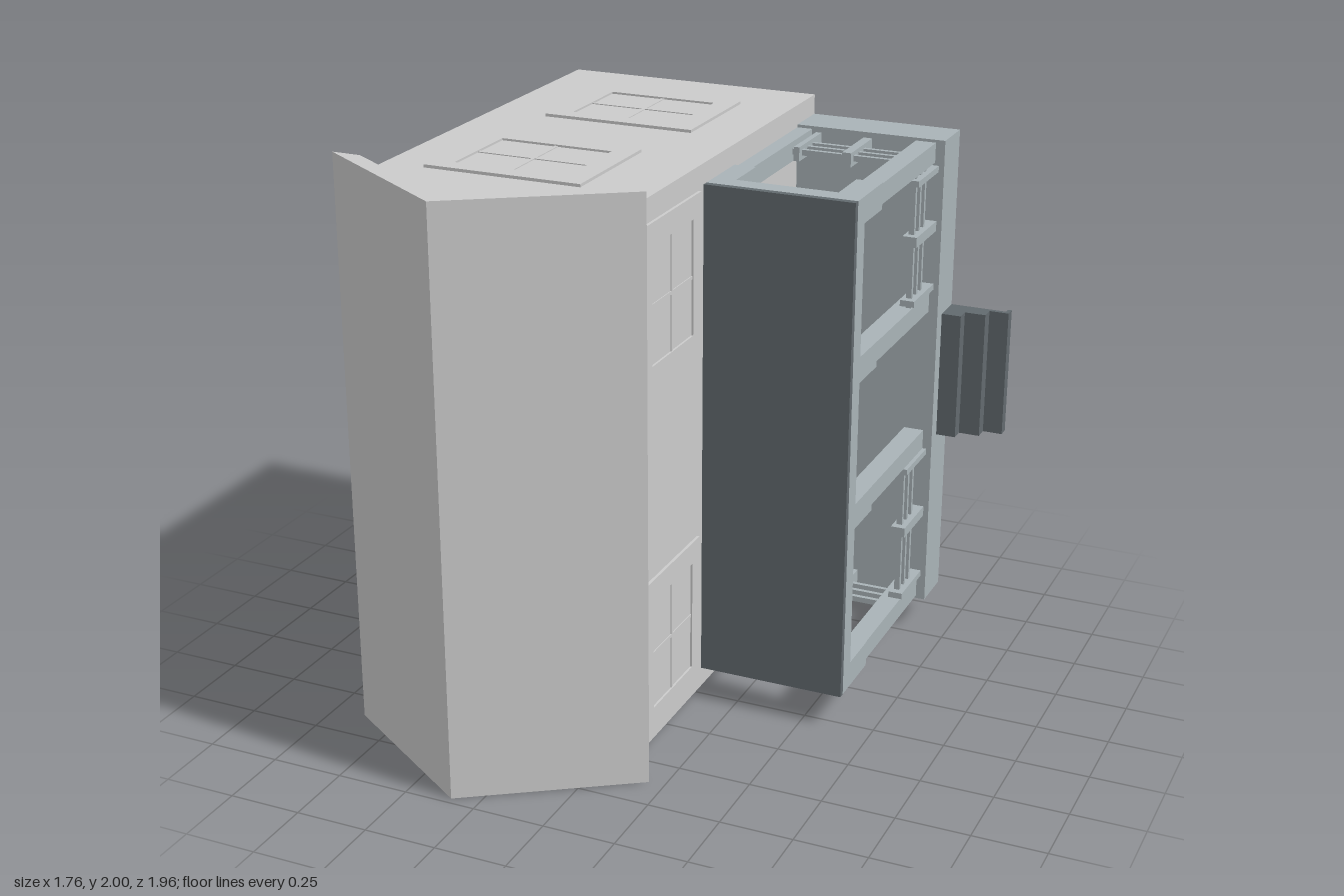
import * as THREE from 'three';

const paint = (color) => new THREE.MeshStandardMaterial({ color, flatShading: true });

// A house lying on its side: its height runs along z, its length along y, its porch faces +x.
export function createModel() {
  const house = new THREE.Group();
  house.name = 'house';
  const wallMat = paint(0xcccccc), porchMat = paint(0xa9b3b7), darkMat = paint(0x626a6e);

  const group = (name, parent = house) => {
    const g = new THREE.Group();
    g.name = name;
    parent.add(g);
    return g;
  };
  const box = (name, parent, mat, x0, x1, y0, y1, z0, z1) => {
    const m = new THREE.Mesh(new THREE.BoxGeometry(x1 - x0, y1 - y0, z1 - z0), mat);
    m.position.set((x0 + x1) / 2, (y0 + y1) / 2, (z0 + z1) / 2);
    m.name = name;
    parent.add(m);
    return m;
  };
  // Prism with its outline in x and z, running from y0 to y1
  const prism = (name, points, y0, y1) => {
    const shape = new THREE.Shape(points.map(([x, z]) => new THREE.Vector2(x, -z)));
    const geo = new THREE.ExtrudeGeometry(shape, { depth: y1 - y0, bevelEnabled: false });
    geo.rotateX(-Math.PI / 2);
    const m = new THREE.Mesh(geo, wallMat);
    m.position.y = y0;
    m.name = name;
    house.add(m);
  };

  // Walls, gable infill and roof
  box('walls', house, wallMat, -0.81, 0.125, 0.05, 1.93, -0.955, 0.62);
  prism('gables', [[-0.785, 0.62], [0.095, 0.62], [-0.345, 0.905]], 0.05, 1.93);
  prism('roof', [[-0.885, 0.62], [-0.785, 0.62], [-0.345, 0.905], [0.095, 0.62],
    [0.195, 0.62], [-0.345, 0.975]], 0, 2);

  // Windows: a frame standing off the wall, a pane set back in it and crossed bars
  const onWall = (side) => (name, parent, u0, u1, z0, z1, d0, d1) => {
    if (side === 'porch') box(name, parent, wallMat, d0, d1, u0, u1, z0, z1);
    else box(name, parent, wallMat, u0, u1, d0, d1, z0, z1);
  };
  const addWindow = (side, u0, u1, z0, z1, out, dir = 1) => {
    const g = group('window');
    const put = onWall(side);
    const w = (u1 - u0) * 0.14, h = (z1 - z0) * 0.14;
    const part = (name, a, b, c, d, low, high) => {
      const e = [out - dir * low, out - dir * high].sort((p, q) => p - q);
      put(name, g, a, b, c, d, e[0], e[1]);
    };
    part('windowFrame', u0, u1, z0, z0 + h, 0, 0.01);
    part('windowFrame', u0, u1, z1 - h, z1, 0, 0.01);
    part('windowFrame', u0, u0 + w, z0 + h, z1 - h, 0, 0.01);
    part('windowFrame', u1 - w, u1, z0 + h, z1 - h, 0, 0.01);
    part('windowPane', u0 + w, u1 - w, z0 + h, z1 - h, 0.007, 0.01);
    const uc = (u0 + u1) / 2, zc = (z0 + z1) / 2;
    part('windowBar', uc - 0.006, uc + 0.006, z0 + h, z1 - h, 0.004, 0.008);
    part('windowBar', u0 + w, u1 - w, zc - 0.006, zc + 0.006, 0.004, 0.008);
  };
  addWindow('porch', 0.12, 0.66, 0.11, 0.545, 0.15);
  addWindow('porch', 1.32, 1.86, 0.11, 0.545, 0.15);
  addWindow('porch', 0.29, 0.61, -0.605, -0.315, 0.14);
  addWindow('porch', 1.355, 1.675, -0.605, -0.315, 0.14);
  addWindow('end', -0.59, -0.05, -0.69, -0.26, 1.948);
  addWindow('end', -0.615, -0.07, 0.085, 0.525, 1.966);
  addWindow('end', -0.59, -0.05, -0.69, -0.255, 0.033, -1);
  addWindow('end', -0.615, -0.07, 0.11, 0.545, 0.033, -1);

  // Door with three upright lights
  const door = group('door');
  box('doorLeaf', door, wallMat, 0.125, 0.137, 0.855, 1.155, -0.765, -0.265);
  for (let i = 0; i < 3; i++) {
    const y = 0.902 + i * 0.069;
    box('doorLight', door, wallMat, 0.137, 0.143, y, y + 0.064, -0.55, -0.305);
  }

  // Porch floor, roof slab and beams
  const porch = group('porch');
  box('porchFloor', porch, porchMat, 0.125, 0.665, 0.12, 1.86, -0.955, -0.79);
  box('porchRoof', porch, darkMat, 0.125, 0.64, 0.12, 1.86, 0.012, 0.035);
  box('frontBeam', porch, porchMat, 0.555, 0.64, 0.12, 1.86, -0.055, 0.012);
  box('wallBeam', porch, porchMat, 0.125, 0.2, 0.12, 1.86, -0.055, 0.012);
  for (const y of [0.12, 1.77]) {
    box('endBeam', porch, porchMat, 0.2, 0.555, y, y + 0.09, -0.055, 0.012);
    // Half columns against the wall
    box('pilaster', porch, porchMat, 0.125, 0.18, y + 0.01, y + 0.08, -0.79, -0.22);
    box('pilasterCapital', porch, porchMat, 0.125, 0.2, y, y + 0.09, -0.22, -0.055);
  }
  for (const y of [0.12, 0.71, 1.23, 1.77]) {
    box('column', porch, porchMat, 0.56, 0.632, y + 0.01, y + 0.08, -0.79, -0.22);
    box('columnCapital', porch, porchMat, 0.55, 0.64, y, y + 0.09, -0.22, -0.055);
  }

  // Railings: three posts and three rails in each bay
  const railLevels = [-0.612, -0.661, -0.71];
  for (const [y0, y1] of [[0.21, 0.72], [1.32, 1.77]]) {
    const g = group('frontRailing', porch);
    const yc = (y0 + y1) / 2 + 0.01;
    for (const z of railLevels) box('rail', g, porchMat, 0.607, 0.627, y0 - 0.01, y1 + 0.01, z - 0.008, z + 0.008);
    for (const [a, b] of [[y0 + 0.003, y0 + 0.025], [yc - 0.018, yc + 0.018], [y1 - 0.022, y1]])
      box('railPost', g, porchMat, 0.595, 0.646, a, b, -0.79, -0.577);
  }
  for (const y of [0.165, 1.815]) {
    const g = group('endRailing', porch);
    for (const z of railLevels) box('rail', g, porchMat, 0.17, 0.57, y - 0.01, y + 0.01, z - 0.008, z + 0.008);
    for (const [a, b] of [[0.195, 0.215], [0.37, 0.402], [0.555, 0.57]])
      box('railPost', g, porchMat, a, b, y - 0.025, y + 0.025, -0.79, -0.577);
  }

  // Steps down from the porch, the lowest one a tread with its riser
  const steps = group('steps');
  box('upperStep', steps, darkMat, 0.275, 0.735, 0.76, 1.22, -0.95, -0.842);
  box('middleStep', steps, darkMat, 0.275, 0.81, 0.76, 1.22, -0.957, -0.89);
  box('lowestTread', steps, darkMat, 0.81, 0.88, 0.76, 1.22, -0.957, -0.94);
  box('lowestRiser', steps, darkMat, 0.866, 0.88, 0.76, 1.22, -0.98, -0.957);

  return house;
}
